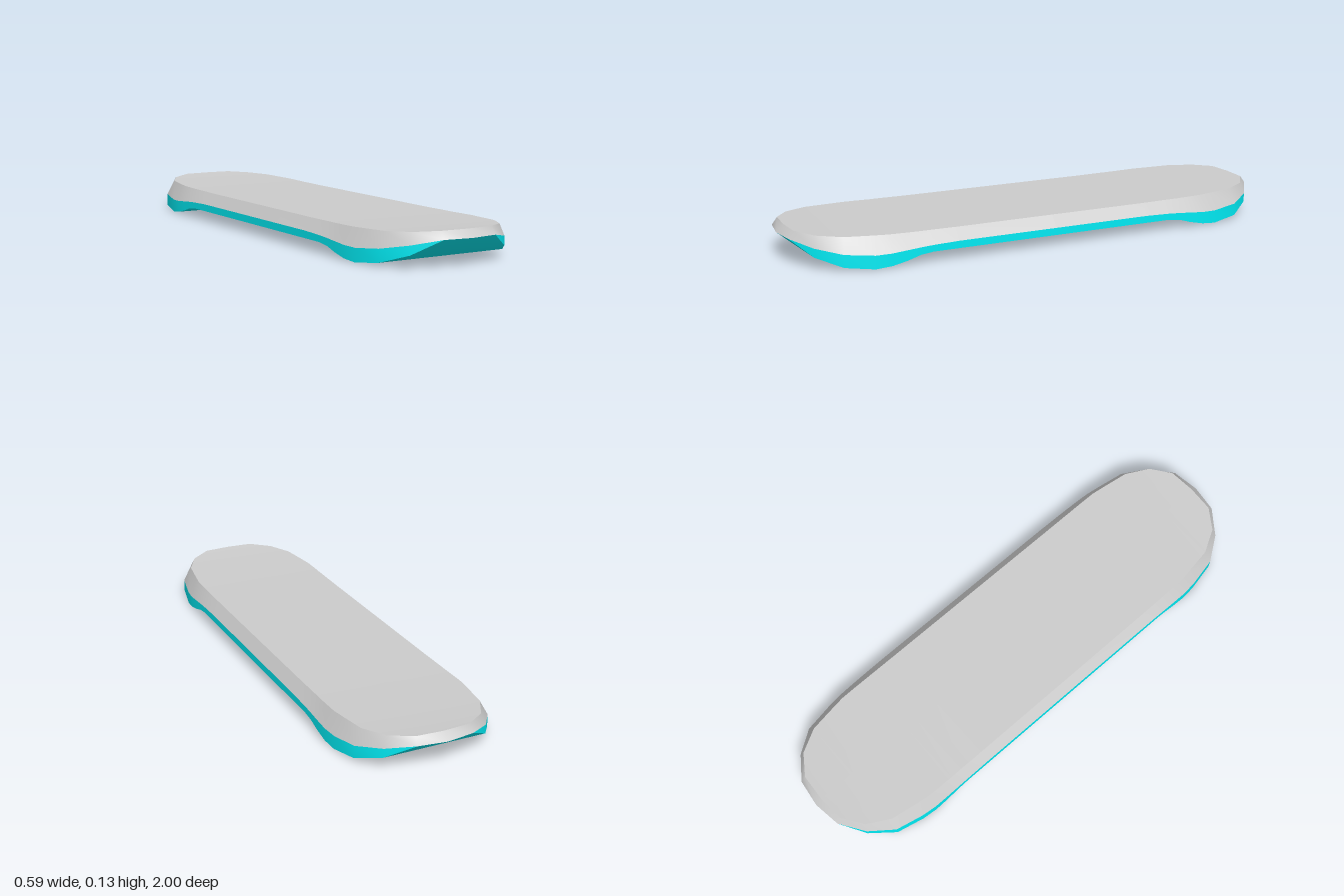
import * as THREE from 'three';
import { mergeVertices } from 'three/addons/utils/BufferGeometryUtils.js';

// Half-length stations from the middle to the tip:
// z, rim half-width, top half-width, top z, top y, seam y, underside y
const HALF = [
  [0.00, 0.295, 0.260, 0.00, 0.112, 0.068, 0.040],
  [0.40, 0.295, 0.260, 0.40, 0.112, 0.068, 0.040],
  [0.50, 0.295, 0.260, 0.50, 0.113, 0.065, 0.040],
  [0.55, 0.295, 0.260, 0.55, 0.113, 0.062, 0.034],
  [0.60, 0.295, 0.260, 0.60, 0.114, 0.058, 0.019],
  [0.66, 0.294, 0.259, 0.66, 0.115, 0.053, 0.006],
  [0.72, 0.287, 0.252, 0.71, 0.116, 0.051, 0.000],
  [0.83, 0.265, 0.235, 0.82, 0.119, 0.062, 0.014],
  [0.92, 0.200, 0.185, 0.91, 0.123, 0.080, 0.046],
  [0.985, 0.108, 0.105, 0.965, 0.128, 0.100, 0.100],
];
const TIP = 1.0, TOP_TIP = 0.972;

// Mirror the stations so they run from the back tip to the front tip
const STATIONS = [
  ...HALF.slice(1).reverse().map(([z, w, tw, tz, ...ys]) => [-z, w, tw, -tz, ...ys]),
  ...HALF,
];
const EDGES = {
  top: ([, , w, z, y]) => [w, y, z],
  rim: ([z, w, , , , y]) => [w, y, z],
  bottom: ([z, w, , , , , y]) => [w, y, z],
};

// Cross rows [+x edge, centre, -x edge] of one level; the centre bulges at the tips
function crossRows(level, tip) {
  const last = STATIONS.length - 1;
  return STATIONS.map((s, i) => {
    const [x, y, z] = EDGES[level](s);
    const cz = i === 0 ? -tip : i === last ? tip : z;
    return [[x, y, z], [0, y, cz], [-x, y, z]];
  });
}

// Closed outline of one level, starting at the back tip
function outline(level, tip) {
  const rows = crossRows(level, tip);
  const back = rows[0][1], front = rows[rows.length - 1][1];
  return [back, ...rows.map(r => r[0]), front, ...rows.map(r => r[2]).reverse(), back];
}

// Smooth surface through a grid of points
function surface(rows, name, color) {
  const cols = rows[0].length, index = [];
  for (let i = 0; i < rows.length - 1; i++) {
    for (let j = 0; j < cols - 1; j++) {
      const a = i * cols + j, c = a + cols;
      index.push(a, a + 1, c, a + 1, c + 1, c);
    }
  }
  let geometry = new THREE.BufferGeometry();
  geometry.setAttribute('position', new THREE.Float32BufferAttribute(rows.flat(2), 3));
  geometry.setIndex(index);
  geometry = mergeVertices(geometry, 1e-5);
  geometry.computeVertexNormals();
  const mesh = new THREE.Mesh(geometry, new THREE.MeshStandardMaterial({ color }));
  mesh.name = name;
  return mesh;
}

export function createModel() {
  const model = new THREE.Group();
  model.name = 'board';
  const grey = 0xcccccc, cyan = 0x00ecf5;

  // Grey deck with a sloping edge
  const deck = new THREE.Group();
  deck.name = 'deck';
  deck.add(
    surface(crossRows('top', TOP_TIP), 'deckTop', grey),
    surface([outline('top', TOP_TIP), outline('rim', TIP)], 'deckBevel', grey),
  );

  // Cyan base, deeper near both ends
  const base = new THREE.Group();
  base.name = 'base';
  base.add(
    surface([outline('rim', TIP), outline('bottom', TIP)], 'baseWall', cyan),
    surface(crossRows('bottom', TIP).map(r => r.slice().reverse()), 'baseUnderside', cyan),
  );

  model.add(deck, base);
  return model;
}
